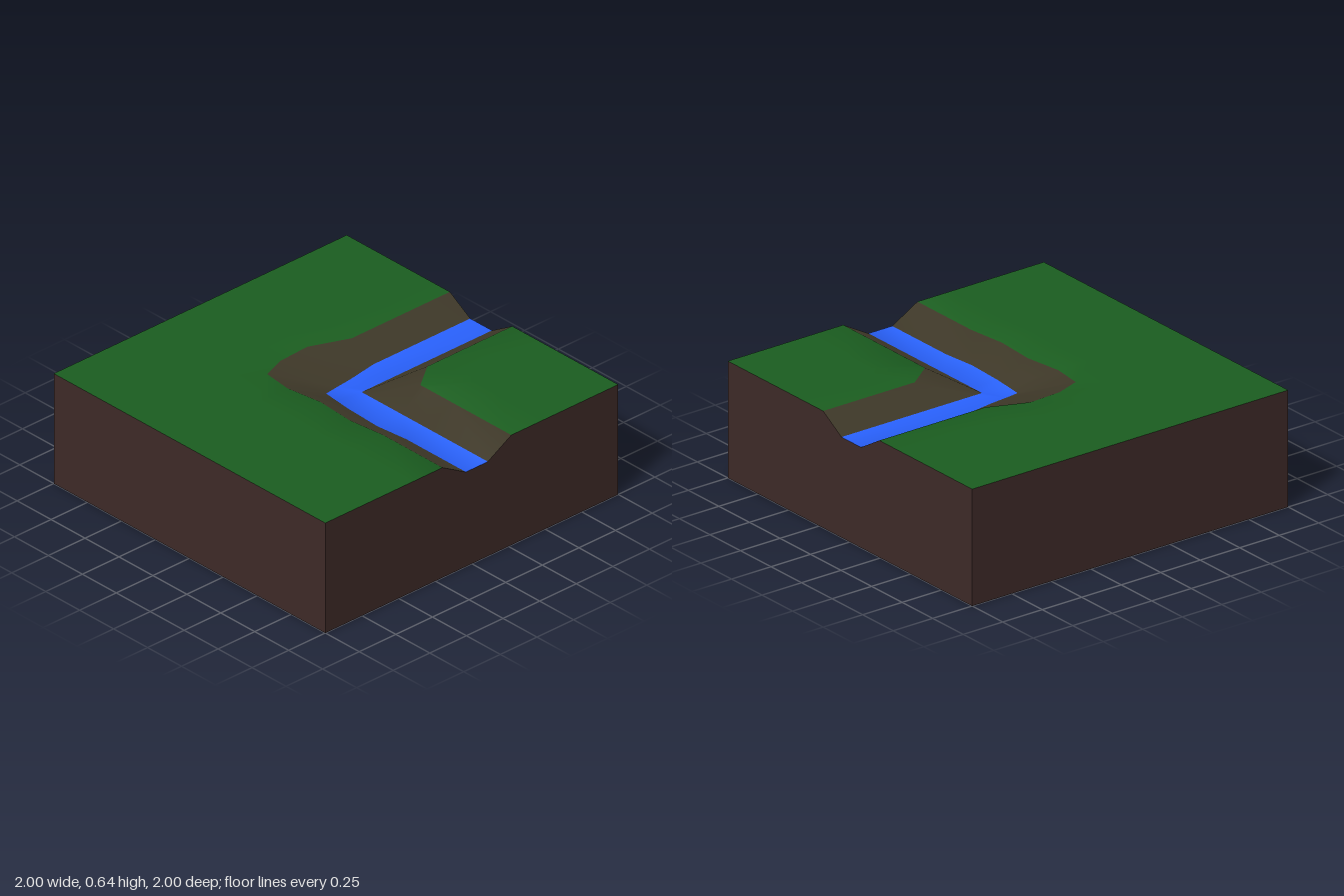
import * as THREE from 'three';
import { mergeGeometries, mergeVertices } from 'three/addons/utils/BufferGeometryUtils.js';

const TOP = 0.64, BED = 0.55;

// Cross-sections along the stream, as [x, z] from the outer map edge to the inner corner:
// map edge, meadow, outer rim, water edge, water edge, inner rim, meadow, map corner
const CORNER = [1, -1];
const SECTIONS = [
  [[-1, -1], [-0.45, -1], [-0.24, -1], [-0.09, -1], [0.07, -1], [0.22, -1], [0.45, -1], CORNER],
  [[-1, -0.33], [-0.45, -0.33], [-0.24, -0.33], [-0.09, -0.34], [0.07, -0.34], [0.22, -0.42], [0.45, -0.55], CORNER],
  [[-1, -0.11], [-0.53, -0.11], [-0.33, -0.11], [-0.06, -0.15], [0.07, -0.15], [0.22, -0.42], [0.45, -0.55], CORNER],
  [[-1, 0.08], [-0.52, 0.1], [-0.32, 0.08], [-0.05, -0.05], [0.07, -0.11], [0.22, -0.42], [0.45, -0.55], CORNER],
  [[-1, 1], [-0.42, 0.4], [-0.27, 0.22], [-0.04, 0.03], [0.07, -0.11], [0.22, -0.42], [0.45, -0.55], CORNER],
  [[-0.1, 1], [-0.1, 0.44], [-0.1, 0.24], [0.05, 0.04], [0.07, -0.11], [0.33, -0.27], [0.5, -0.5], CORNER],
  [[0.11, 1], [0.11, 0.43], [0.11, 0.21], [0.15, 0.05], [0.15, -0.11], [0.33, -0.27], [0.5, -0.5], CORNER],
  [[0.34, 1], [0.34, 0.44], [0.34, 0.225], [0.37, 0.06], [0.37, -0.11], [0.37, -0.27], [0.53, -0.5], CORNER],
  [[0.56, 1], [0.56, 0.42], [0.56, 0.2], [0.56, 0.04], [0.56, -0.11], [0.56, -0.27], [0.65, -0.5], CORNER],
  [[1, 1], [1, 0.42], [1, 0.2], [1, 0.04], [1, -0.11], [1, -0.27], [1, -0.5], CORNER],
];
const COLUMNS = SECTIONS[0].length;

function material(color) {
  return new THREE.MeshStandardMaterial({ color });
}

// Whole upper surface as one smooth skin, so shading flows across the part borders
function surfaceGeometry() {
  const positions = [], index = [];
  SECTIONS.forEach((row) => row.forEach(([x, z], j) => {
    positions.push(x, j === 3 || j === 4 ? BED : TOP, z);
  }));
  for (let j = 0; j < COLUMNS - 1; j++) {
    for (let i = 0; i < SECTIONS.length - 1; i++) {
      const a = i * COLUMNS + j, c = a + COLUMNS;
      index.push(a, c, a + 1, c, c + 1, a + 1);
    }
  }
  const raw = new THREE.BufferGeometry();
  raw.setAttribute('position', new THREE.Float32BufferAttribute(positions, 3));
  raw.setIndex(index);
  const geometry = mergeVertices(raw);
  geometry.computeVertexNormals();
  return geometry;
}

// Strips of the skin lying between the given columns
function surfacePart(skin, name, color, strips) {
  const perStrip = (SECTIONS.length - 1) * 6;
  const all = Array.from(skin.index.array);
  const geometry = new THREE.BufferGeometry();
  geometry.setAttribute('position', skin.attributes.position);
  geometry.setAttribute('normal', skin.attributes.normal);
  geometry.setIndex(strips.flatMap((s) => all.slice(s * perStrip, (s + 1) * perStrip)));
  const mesh = new THREE.Mesh(geometry, material(color));
  mesh.name = name;
  return mesh;
}

// One side of the block, with the stream bed cut out of its upper edge
function wall(angle, notch) {
  const shape = new THREE.Shape();
  shape.moveTo(-1, 0);
  shape.lineTo(1, 0);
  shape.lineTo(1, TOP);
  if (notch) {
    const [a, b, c, d] = notch;
    shape.lineTo(d, TOP);
    shape.lineTo(c, BED);
    shape.lineTo(b, BED);
    shape.lineTo(a, TOP);
  }
  shape.lineTo(-1, TOP);
  return new THREE.ShapeGeometry(shape).translate(0, 0, 1).rotateY(angle);
}

export function createModel() {
  const group = new THREE.Group();
  group.name = 'riverBendTile';

  // Grass, banks and water
  const skin = surfaceGeometry();
  group.add(
    surfacePart(skin, 'grass', 0x1b5e20, [0, 1, 5, 6]),
    surfacePart(skin, 'riverBanks', 0x3e3828, [2, 4]),
    surfacePart(skin, 'water', 0x2962ff, [3]),
  );

  // Soil block: front, right, back, left and underside
  const soil = new THREE.Mesh(mergeGeometries([
    wall(0),
    wall(Math.PI / 2, [-0.2, -0.04, 0.11, 0.27]),
    wall(Math.PI, [-0.22, -0.07, 0.09, 0.24]),
    wall(-Math.PI / 2),
    new THREE.PlaneGeometry(2, 2).rotateX(Math.PI / 2),
  ]), material(0x3e2a28));
  soil.name = 'soilBlock';
  group.add(soil);

  return group;
}
